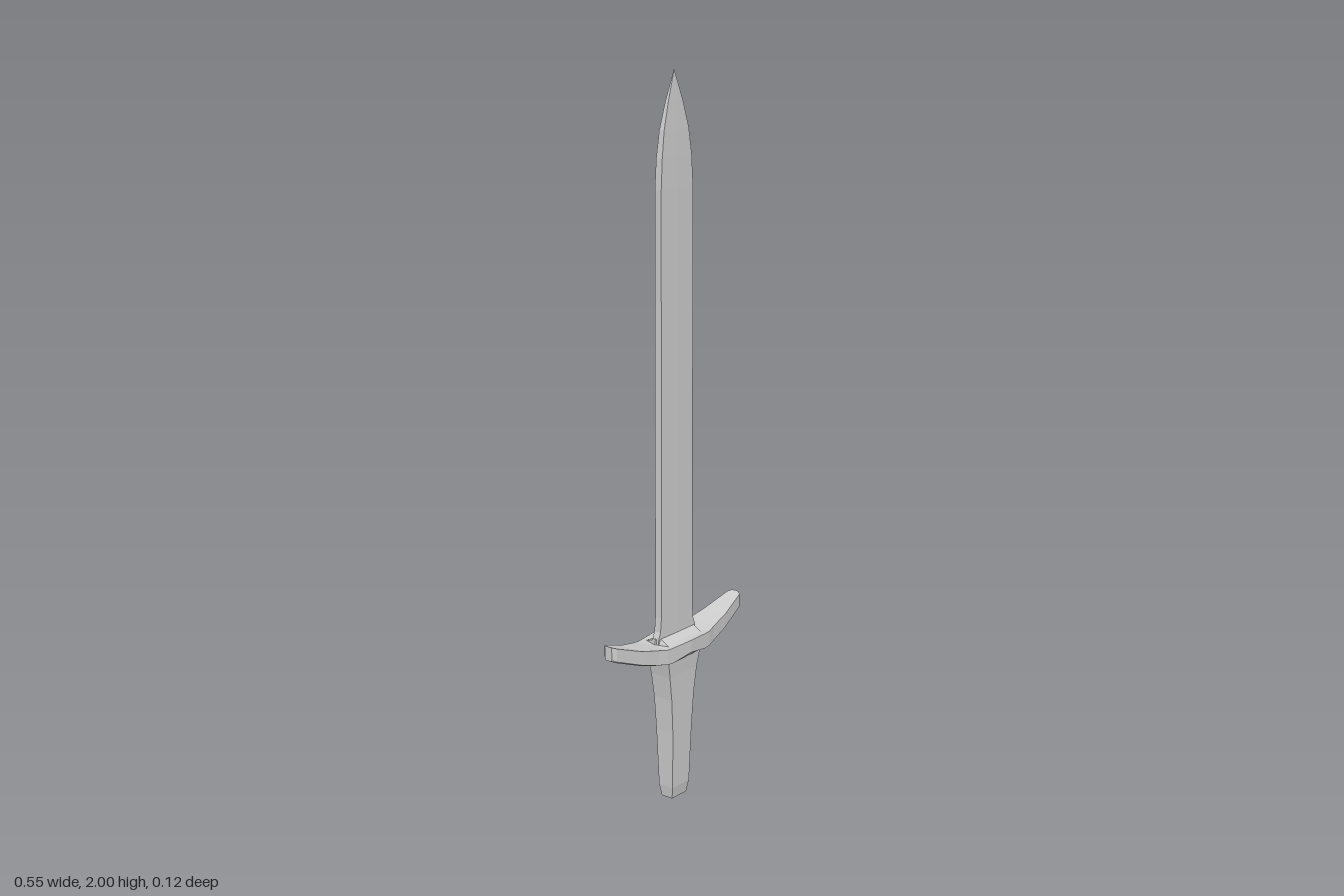
import * as THREE from 'three';

const material = new THREE.MeshStandardMaterial({ color: 0xcccccc, flatShading: true });

// Skin a row of equal-sized loops, counter-clockwise seen from the far end, and cap both ends
function loft(name, rings) {
  const n = rings[0].length, last = (rings.length - 1) * n, index = [];
  for (let i = 0; i < rings.length - 1; i++) {
    for (let j = 0; j < n; j++) {
      const a = i * n + j, b = i * n + (j + 1) % n;
      index.push(a, b, b + n, a, b + n, a + n);
    }
  }
  for (let j = 1; j < n - 1; j++) {
    index.push(0, j + 1, j, last, last + j, last + j + 1);
  }
  const geometry = new THREE.BufferGeometry();
  geometry.setAttribute('position', new THREE.Float32BufferAttribute(rings.flat(2), 3));
  geometry.setIndex(index);
  geometry.computeVertexNormals();
  const mesh = new THREE.Mesh(geometry, material);
  mesh.name = name;
  return mesh;
}

// Six-point horizontal section: half width w, edge half depth e, middle half depth m
const slab = (y, w, e, m = e) => [
  [w, y, e], [w, y, -e], [0, y, -m], [-w, y, -e], [-w, y, e], [0, y, m],
];

// Crossguard section at x: bottom chamfered by c, half depth w
const guardSection = ([x, bottom, top, w, c]) => [
  [x, bottom, -w * 0.75], [x, bottom + c, -w], [x, top, -w],
  [x, top, w], [x, bottom + c, w], [x, bottom, w * 0.75],
];

export function createModel() {
  const group = new THREE.Group();
  group.name = 'sword';

  // Blade with a flared root and a pointed tip
  group.add(loft('blade', [
    [0.46, 0.08, 0.0105], [0.485, 0.078, 0.0105], [0.5, 0.071, 0.0105], [0.54, 0.067, 0.0105],
    [1.7, 0.065, 0.0105], [1.78, 0.06, 0.01], [1.85, 0.05, 0.008],
    [1.92, 0.03, 0.005], [2, 0.0005, 0.0005],
  ].map(([y, w, e]) => slab(y, w, e, e * 1.08))));

  // Crossguard, half of its stations mirrored to the other side
  const half = [
    [0, 0.42, 0.47, 0.06, 0.015],
    [0.07, 0.42, 0.467, 0.054, 0.004],
    [0.09, 0.421, 0.467, 0.052, 0.004],
    [0.12, 0.427, 0.473, 0.045, 0.004],
    [0.18, 0.444, 0.487, 0.037, 0.004],
    [0.265, 0.476, 0.517, 0.021, 0.004],
    [0.275, 0.481, 0.521, 0.012, 0.004],
  ];
  const mirrored = half.slice(1).reverse().map(([x, ...rest]) => [-x, ...rest]);
  group.add(loft('crossguard', [...mirrored, ...half].map(guardSection)));

  // Sloped collar where the blade meets the guard
  const collarRing = (y, tip, w, d) => [
    [tip, y, 0], [w, y, -d], [-w, y, -d], [-tip, y, 0], [-w, y, d], [w, y, d],
  ];
  group.add(loft('collar', [
    collarRing(0.462, 0.083, 0.07, 0.048),
    collarRing(0.482, 0.08, 0.071, 0.012),
  ]));

  // Tapered grip with a bevelled foot
  group.add(loft('grip', [
    [0, 0.031, 0.018], [0.035, 0.036, 0.024], [0.2, 0.041, 0.029],
    [0.3, 0.048, 0.031], [0.37, 0.058, 0.033], [0.43, 0.07, 0.037],
  ].map(([y, w, e]) => slab(y, w, e))));

  return group;
}
